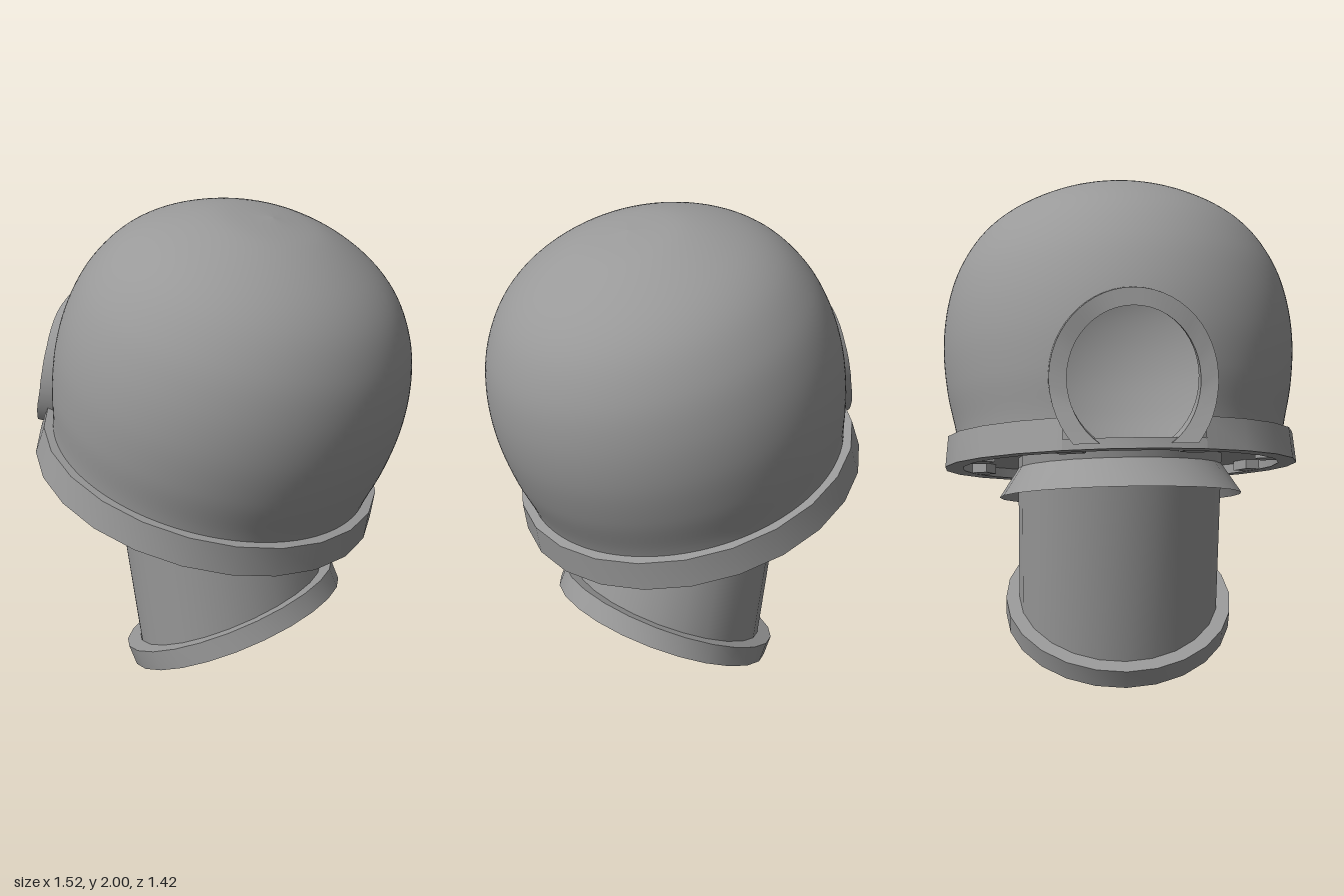
import * as THREE from 'three';
import { toCreasedNormals } from 'three/addons/utils/BufferGeometryUtils.js';

const grey = new THREE.MeshStandardMaterial({ color: 0x999999, side: THREE.DoubleSide });
const CAP_TILT = -Math.PI / 12, BASE_TILT = 0.436;
const WINDOW = { y: 1.27, outer: [0.31, 0.33], inner: [0.245, 0.265] };

function mesh(name, geometry) {
  const m = new THREE.Mesh(geometry, grey);
  m.name = name;
  return m;
}

// Turned part from a section of [radius, height], counterclockwise when closed
function turned(section, start = 0, length = Math.PI * 2) {
  const pts = section.map(([r, y]) => new THREE.Vector2(r, y));
  const steps = Math.max(3, Math.round(length / (Math.PI / 12)));
  return toCreasedNormals(new THREE.LatheGeometry(pts, steps, start, length), 0.5);
}

// Section of a band: inner radius, outer radius at the bottom and top, height
function bandSection(inner, outerLow, outerHigh, h) {
  return [[inner, 0], [outerLow, 0], [outerHigh, h], [inner, h], [inner, 0]];
}

// Piecewise linear lookup in [key, value] pairs with rising keys
function lookup(table, k) {
  for (let i = 1; i < table.length; i++) {
    const [k0, v0] = table[i - 1], [k1, v1] = table[i];
    if (k <= k1) return v0 + (v1 - v0) * (Math.max(k, k0) - k0) / (k1 - k0);
  }
  return table[table.length - 1][1];
}

// Dome shell with an oval window removed on its -x side
function makeDome() {
  const profile = [[0.65, 0.03], [0.665, 0.14], [0.698, 0.3], [0.712, 0.475], [0.695, 0.645], [0.645, 0.8],
    [0.55, 0.942], [0.41, 1.048], [0.215, 1.127], [0, 1.151]].map(([r, y]) => new THREE.Vector2(r, y));
  const points = new THREE.SplineCurve(profile).getSpacedPoints(56);
  points[56].x = 0;
  const g = new THREE.LatheGeometry(points, 144);
  g.rotateZ(CAP_TILT).translate(-0.075, 0.855, 0);
  const p = g.attributes.position, index = g.index.array, kept = [];
  for (let i = 0; i < index.length; i += 3) {
    const tri = [index[i], index[i + 1], index[i + 2]];
    const mean = (f) => tri.reduce((s, v) => s + f(v), 0) / 3;
    const x = mean((v) => p.getX(v)), y = mean((v) => p.getY(v)), z = mean((v) => p.getZ(v));
    const inWindow = x < -0.4 && (z / 0.278) ** 2 + ((y - WINDOW.y) / 0.298) ** 2 < 1;
    if (!inWindow) kept.push(...tri);
  }
  g.setIndex(kept);
  return g;
}

// Horseshoe frame around the window, bowed inwards along its height
function makeWindowFrame() {
  const front = [[1.04, -0.755], [1.08, -0.735], [1.2, -0.682], [1.3, -0.66], [1.4, -0.648], [1.53, -0.648], [1.6, -0.635]];
  const back = [[1.04, -0.67], [1.13, -0.635], [1.25, -0.606], [1.38, -0.598], [1.6, -0.612]];
  const steps = 40, pos = [], idx = [];
  const bottom = 1.045;
  const edge = (radii, t) => {
    const a0 = Math.asin((bottom - WINDOW.y) / radii[1]), a = a0 + (Math.PI - 2 * a0) * t;
    return [radii[0] * Math.cos(a), WINDOW.y + radii[1] * Math.sin(a)];
  };
  for (let i = 0; i <= steps; i++) {
    const [zo, yo] = edge(WINDOW.outer, i / steps);
    const [zi, yi] = edge(WINDOW.inner, i / steps);
    pos.push(lookup(front, yo), yo, zo, lookup(front, yi), yi, zi,
      lookup(back, yi), yi, zi, lookup(back, yo), yo, zo);
    if (i === steps) break;
    for (let k = 0; k < 4; k++) {
      const a = i * 4 + k, b = i * 4 + (k + 1) % 4;
      idx.push(a, a + 4, b, b, a + 4, b + 4);
    }
  }
  const e = steps * 4;
  idx.push(0, 1, 2, 0, 2, 3, e, e + 2, e + 1, e, e + 3, e + 2);
  const g = new THREE.BufferGeometry();
  g.setAttribute('position', new THREE.Float32BufferAttribute(pos, 3));
  g.setIndex(idx);
  return toCreasedNormals(g, 0.6);
}

// Pipe lofted between the tilted base ring and the oppositely tilted cap floor
function makePipe() {
  const g = new THREE.CylinderGeometry(0.415, 0.415, 1, 24, 1, true);
  const p = g.attributes.position;
  for (let i = 0; i < p.count; i++) {
    const top = p.getY(i) > 0;
    const tilt = top ? CAP_TILT : BASE_TILT;
    const [cx, cy] = top ? [-0.062, 0.887] : [0.055, 0.215];
    const x = p.getX(i);
    p.setXY(i, cx + x * Math.cos(tilt), cy + x * Math.sin(tilt));
  }
  g.computeVertexNormals();
  return toCreasedNormals(g, 0.6);
}

export function createModel() {
  const model = new THREE.Group();
  model.name = 'ventCowl';
  model.add(mesh('dome', makeDome()), mesh('windowFrame', makeWindowFrame()), mesh('pipe', makePipe()));

  // Rim band, interrupted under the window
  const rim = new THREE.Group();
  rim.name = 'rim';
  rim.position.set(-0.076, 0.846, 0);
  rim.rotation.z = CAP_TILT;
  const gap = 0.38;
  rim.add(mesh('rimBand', turned(bandSection(0.64, 0.712, 0.7, 0.122),
    Math.PI * 1.5 + gap, Math.PI * 2 - gap * 2)));
  rim.add(mesh('windowSill', turned(bandSection(0.64, 0.712, 0.71, 0.04),
    Math.PI * 1.5 - gap, gap * 2)));

  // Floor plate closing the cap around the open pipe, with small blocks beneath
  rim.add(mesh('floorPlate', turned([[0.66, 0.04], [0.405, 0.04]])));
  for (let i = 0; i < 8; i++) {
    const a = (i + 0.5) * Math.PI / 4;
    const block = mesh('rimBlock', new THREE.BoxGeometry(0.08, 0.04, 0.1));
    block.position.set(Math.cos(a) * 0.61, 0.021, Math.sin(a) * 0.61);
    block.rotation.y = -a;
    rim.add(block);
  }
  model.add(rim);

  // Flared collar at the top of the pipe
  const collar = mesh('collar', turned([[0.492, 0], [0.412, 0.122]]));
  collar.position.set(-0.085, 0.727, 0);
  collar.rotation.z = CAP_TILT;
  model.add(collar);

  // Tilted flange at the foot of the pipe
  const flange = mesh('baseFlange', turned(bandSection(0.41, 0.47, 0.47, 0.085)));
  flange.position.set(0.073, 0.202, 0);
  flange.rotation.z = BASE_TILT;
  model.add(flange);
  return model;
}
